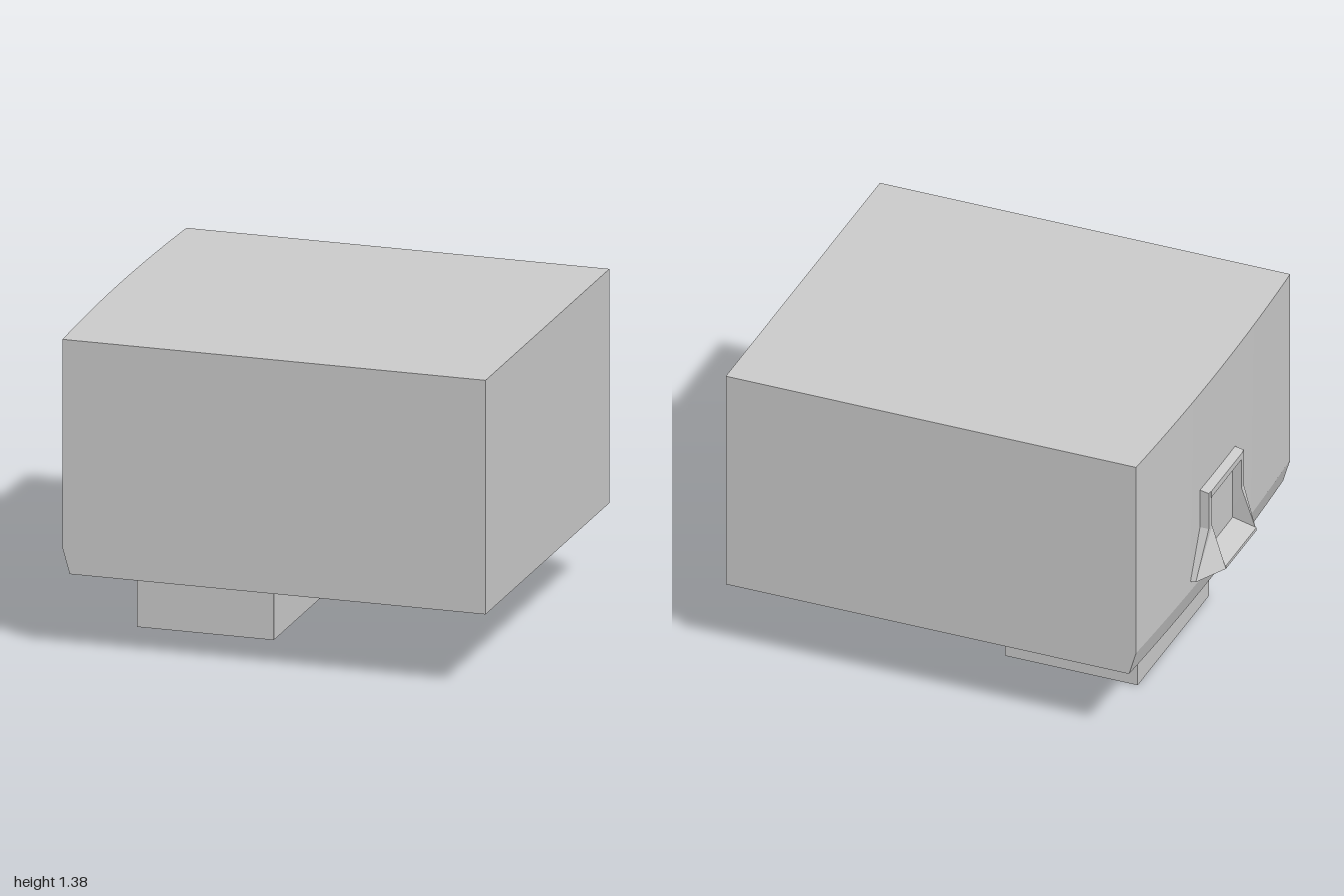
import * as THREE from 'three';
import { toCreasedNormals } from 'three/addons/utils/BufferGeometryUtils.js';

const material = new THREE.MeshStandardMaterial({ color: 0xcccccc });

function part(name, geometry, x = 0, y = 0, z = 0) {
  const mesh = new THREE.Mesh(toCreasedNormals(geometry, 0.2), material);
  mesh.name = name;
  mesh.position.set(x, y, z);
  return mesh;
}

// Extrusion of a flat outline, centred on its depth
function slab(points, depth) {
  const shape = new THREE.Shape(points.map(([x, y]) => new THREE.Vector2(x, y)));
  return new THREE.ExtrudeGeometry(shape, { depth, bevelEnabled: false }).translate(0, 0, -depth / 2);
}

// Closed solid through four-cornered rings, listed from bottom to top
function loft(rings) {
  const index = [];
  const n = rings[0].length;
  for (let r = 0; r < rings.length - 1; r++) {
    for (let i = 0; i < n; i++) {
      const a = r * n + i, b = r * n + (i + 1) % n;
      index.push(a, b, b + n, a, b + n, a + n);
    }
  }
  const t = (rings.length - 1) * n;
  index.push(0, 2, 1, 0, 3, 2, t, t + 1, t + 2, t, t + 2, t + 3);
  const geometry = new THREE.BufferGeometry();
  geometry.setAttribute('position', new THREE.Float32BufferAttribute(rings.flat(2), 3));
  geometry.setIndex(index);
  return geometry;
}

// Box whose -x wall bows outward and tucks in along the bottom edge
function bodyGeometry() {
  const geometry = new THREE.BoxGeometry(2, 2, 1.67, 1, 2, 16);
  const p = geometry.attributes.position;
  for (let i = 0; i < p.count; i++) {
    const level = Math.round(p.getY(i)) + 1;
    const s = p.getZ(i) / 0.835;
    const tuck = level === 0 ? 0.032 : 0;
    if (p.getX(i) < 0) p.setX(i, -0.893 + 0.021 * s * s + tuck);
    else p.setX(i, 1);
    p.setY(i, [0.35, 0.46, 1.38][level]);
  }
  return geometry;
}

// One flared leg of the side bracket
function legGeometry(side) {
  const ring = (back, inner, outer) => {
    const corners = [
      [-0.88, back, inner[2]], inner, outer, [-0.88, back, outer[2]],
    ].map(([x, y, z]) => [x, y, z * side]);
    return side > 0 ? corners : corners.reverse();
  };
  return loft([
    ring(0.505, [-1, 0.525, 0.165], [-0.915, 0.51, 0.29]),
    ring(0.72, [-0.935, 0.72, 0.16], [-0.932, 0.72, 0.19]),
    ring(0.905, [-0.935, 0.895, 0.16], [-0.932, 0.895, 0.19]),
  ]);
}

export function createModel() {
  const model = new THREE.Group();
  model.name = 'boxOnFoot';

  model.add(part('body', bodyGeometry()));
  model.add(part('foot', new THREE.BoxGeometry(0.605, 0.352, 0.77), -0.3875, 0.176, 0));

  // Thin tapered plate under the body, next to the foot
  const plate = slab([[-0.1, -0.38], [-0.08, -0.38], [0.04, -0.22], [0.04, 0.22], [-0.08, 0.38], [-0.1, 0.38]], 0.01);
  model.add(part('underPlate', plate.rotateX(-Math.PI / 2), 0, 0.35, 0));

  // Bracket on the -x wall: two flared legs, a top bar and a sloping lip
  const bracket = new THREE.Group();
  bracket.name = 'sideBracket';
  for (const side of [1, -1]) {
    bracket.add(part(side > 0 ? 'frontLeg' : 'backLeg', legGeometry(side)));
  }
  bracket.add(part('topBar', slab([[-0.88, 0.87], [-0.88, 0.905], [-0.935, 0.895], [-0.935, 0.865]], 0.34)));
  bracket.add(part('lowerLip', slab([[-0.88, 0.505], [-0.88, 0.57], [-1, 0.54], [-1, 0.525]], 0.33)));
  model.add(bracket);

  return model;
}
